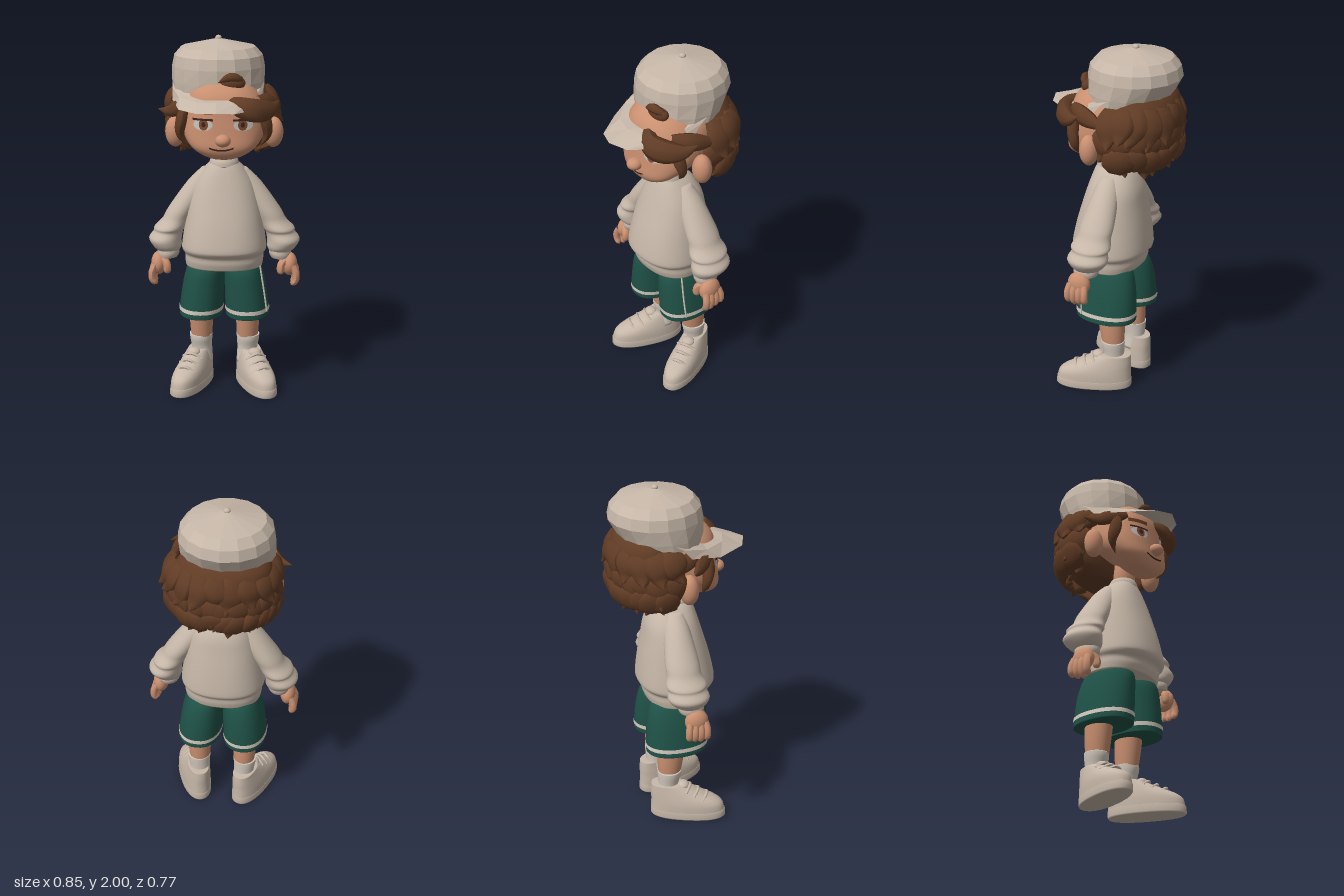
import * as THREE from 'three';

const mat = (name, color, double) => {
  const m = new THREE.MeshStandardMaterial({ color });
  m.name = name;
  if (double) m.side = THREE.DoubleSide;
  return m;
};
const M = {
  cream: mat('cream cloth', 0xc6b7a8, true),
  skin: mat('skin', 0xc98f70),
  hair: mat('brown hair', 0x613c25),
  green: mat('green cloth', 0x1f5247),
  trim: mat('pale trim', 0xd2c8bc),
  white: mat('eye white', 0xc0bebb),
  iris: mat('iris brown', 0x7a452b),
  dark: mat('dark brown', 0x38221a),
};

// Smooth interpolation of a list of rings
function resample(rings, k) {
  const out = [], at = i => rings[Math.min(Math.max(i, 0), rings.length - 1)];
  for (let i = 0; i < rings.length - 1; i++) for (let s = 0; s < k; s++) {
    const t = s / k;
    out.push(rings[i].map((b, c) => {
      const a = at(i - 1)[c], d = at(i + 1)[c], e = at(i + 2)[c];
      return b + 0.5 * t * (d - a + t * (2 * a - 5 * b + 4 * d - e + t * (3 * (b - d) + e - a)));
    }));
  }
  out.push(rings[rings.length - 1]);
  return out;
}

// Stacked horizontal rings, bottom to top: [y, centre x, half width, z front, z back]
function loft(rings, { n = 32, k = 4, e = 2, caps = true, flat = false } = {}) {
  let rs = k > 1 ? resample(rings, k) : rings.slice();
  if (caps) {
    const point = r => [r[0], r[1], 0.0005, (r[3] + r[4]) / 2 + 0.0005, (r[3] + r[4]) / 2 - 0.0005];
    rs = [point(rs[0]), ...rs, point(rs[rs.length - 1])];
  }
  const pos = [], idx = [], pw = v => Math.sign(v) * Math.abs(v) ** (2 / e);
  rs.forEach(([y, cx, rx, zf, zb]) => {
    for (let j = 0; j < n; j++) {
      const a = (j / n) * Math.PI * 2;
      pos.push(cx + rx * pw(Math.cos(a)), y, (zf + zb) / 2 + ((zf - zb) / 2) * pw(Math.sin(a)));
    }
  });
  for (let i = 0; i < rs.length - 1; i++) for (let j = 0; j < n; j++) {
    const a = i * n + j, c = i * n + (j + 1) % n;
    idx.push(a, a + n, c, a + n, c + n, c);
  }
  let g = new THREE.BufferGeometry();
  g.setAttribute('position', new THREE.Float32BufferAttribute(pos, 3));
  g.setIndex(idx);
  if (flat) g = g.toNonIndexed();
  g.computeVertexNormals();
  return g;
}

const V = p => new THREE.Vector3(...p);
const pointed = t => Math.sin(Math.PI * (0.18 + 0.82 * t));
const blunt = t => Math.sqrt(Math.max(0, 1 - t ** 8));

// Tapered tube; an optional centre flattens it against the head
function strand(points, r, taper = pointed, centre = null, thick = 0.5) {
  const curve = new THREE.CatmullRomCurve3(points.map(V)), seg = 14, rad = 8;
  const g = new THREE.TubeGeometry(curve, seg, r, rad), p = g.attributes.position, v = new THREE.Vector3();
  for (let i = 0; i < p.count; i++) {
    const t = Math.floor(i / (rad + 1)) / seg, c = curve.getPointAt(t);
    v.fromBufferAttribute(p, i).sub(c).multiplyScalar(taper(t));
    if (centre) {
      const d = c.clone().sub(centre).normalize();
      v.addScaledVector(d, -(1 - thick) * v.dot(d));
    }
    v.add(c);
    p.setXYZ(i, v.x, v.y, v.z);
  }
  g.computeVertexNormals();
  return g;
}

const HEAD = [
  [1.365, 0, 0.06, 0.2, 0.1], [1.385, 0, 0.115, 0.228, 0.07], [1.43, 0, 0.178, 0.248, 0.02],
  [1.5, 0, 0.222, 0.243, -0.11], [1.58, 0, 0.228, 0.236, -0.18], [1.66, 0, 0.215, 0.228, -0.2],
  [1.72, -0.005, 0.185, 0.205, -0.2], [1.77, -0.01, 0.14, 0.15, -0.16], [1.8, -0.01, 0.07, 0.08, -0.1]];
const FACE = resample(HEAD, 4);

function faceZ(x, y) {
  const i = Math.max(1, FACE.findIndex(r => r[0] > y)), a = FACE[i - 1], b = FACE[i];
  const [, cx, rx, zf, zb] = a.map((v, c) => v + (b[c] - v) * (y - a[0]) / (b[0] - a[0]));
  return (zf + zb) / 2 + (zf - zb) / 2 * Math.max(0, 1 - Math.abs((x - cx) / rx) ** 2.4) ** (1 / 2.4);
}

// Lays a flat geometry onto the face
function onFace(g, x, y, off) {
  g.translate(x, y, 0);
  const p = g.attributes.position;
  for (let i = 0; i < p.count; i++) p.setZ(i, faceZ(p.getX(i), p.getY(i)) + off);
  g.computeVertexNormals();
  return g;
}

export function createModel() {
  const root = new THREE.Group();
  const add = (name, g, m, parent = root) => {
    const mesh = new THREE.Mesh(g, m);
    mesh.name = name;
    parent.add(mesh);
    return mesh;
  };
  const ball = (name, m, [x, y, z], [a, b, c], parent) =>
    add(name, new THREE.SphereGeometry(1, 24, 16).scale(a, b, c).translate(x, y, z), m, parent);
  const disc = (rx, ry) => new THREE.RingGeometry(0, 1, 24, 4).scale(rx, ry, 1);

  // Head and face
  add('head', loft(HEAD, { n: 48, e: 2.4 }), M.skin);
  add('neck', loft([[1.28, 0, 0.066, 0.085, -0.04], [1.45, 0, 0.062, 0.1, -0.02]], { k: 1 }), M.skin);
  ball('nose', M.skin, [0, 1.48, 0.256], [0.042, 0.034, 0.044]);
  const mouth = new THREE.PlaneGeometry(0.13, 0.009, 16, 1);
  for (let i = 0, p = mouth.attributes.position; i < p.count; i++) p.setY(i, p.getY(i) + 3 * p.getX(i) ** 2);
  add('mouth', onFace(mouth, -0.01, 1.425, 0.004), M.dark);

  // Sweater body and collar
  add('sweater', loft([
    [0.73, 0, 0.215, 0.183, -0.158], [0.765, 0, 0.22, 0.195, -0.168], [0.8, 0, 0.221, 0.2, -0.172],
    [0.825, 0, 0.235, 0.226, -0.195], [0.86, 0, 0.235, 0.232, -0.2], [0.98, 0, 0.217, 0.207, -0.187],
    [1.1, 0, 0.195, 0.172, -0.168], [1.2, 0, 0.163, 0.142, -0.15], [1.28, 0, 0.112, 0.116, -0.108],
    [1.315, 0, 0.078, 0.1, -0.06]], { n: 40, e: 2.3 }), M.cream);
  add('collar', loft([[1.3, 0, 0.084, 0.108, -0.066], [1.325, 0, 0.079, 0.104, -0.058],
    [1.343, 0, 0.07, 0.094, -0.046]]), M.cream);
  add('sideStripe', strand([[0.242, 0.47, 0.095], [0.2285, 0.57, 0.1], [0.202, 0.74, 0.098]], 0.005, () => 1), M.trim);

  for (const s of [1, -1]) {
    const side = s > 0 ? 'left' : 'right';
    // Ear and eye
    ball(side + 'Ear', M.skin, [s * 0.27, 1.485, 0.02], [0.055, 0.085, 0.052]);
    add(side + 'EyeWhite', onFace(disc(0.052, 0.031), s * 0.108, 1.56, 0.003), M.white);
    add(side + 'Iris', onFace(disc(0.025, 0.03), s * 0.105, 1.561, 0.005), M.iris);
    add(side + 'Pupil', onFace(disc(0.011, 0.014), s * 0.105, 1.562, 0.007), M.dark);
    add(side + 'Eyelid', onFace(new THREE.PlaneGeometry(0.112, 0.011, 10, 1), s * 0.108, 1.588, 0.007), M.dark);
    add(side + 'Eyebrow', onFace(new THREE.PlaneGeometry(0.11, 0.024, 10, 1), s * 0.112, 1.63, 0.007), M.hair);

    // Sleeve with folds, and cuff
    add(side + 'Sleeve', loft([
      [0.812, s * 0.315, 0.066, 0.088, -0.062], [0.835, s * 0.322, 0.082, 0.107, -0.09],
      [0.875, s * 0.332, 0.092, 0.117, -0.117], [0.915, s * 0.314, 0.083, 0.1, -0.108],
      [0.94, s * 0.304, 0.088, 0.108, -0.118], [0.985, s * 0.27, 0.078, 0.088, -0.104],
      [1.05, s * 0.232, 0.08, 0.084, -0.104], [1.2, s * 0.13, 0.075, 0.06, -0.08],
      [1.28, s * 0.075, 0.05, 0.04, -0.05]], { n: 28 }), M.cream);
    add(side + 'Cuff', loft([[0.772, s * 0.318, 0.055, 0.085, -0.045], [0.795, s * 0.314, 0.062, 0.092, -0.055],
      [0.825, s * 0.312, 0.06, 0.088, -0.055]]), M.cream);

    // Hand: palm, four fingers and a thumb
    const hand = new THREE.Group();
    hand.name = side + 'Hand';
    root.add(hand);
    ball('palm', M.skin, [s * 0.367, 0.735, 0.035], [0.044, 0.066, 0.066], hand);
    ball('wrist', M.skin, [s * 0.335, 0.782, 0.02], [0.045, 0.04, 0.05], hand);
    for (let i = 0; i < 4; i++) {
      const z = 0.087 - i * 0.034, low = 0.612 + [0.012, 0, 0.008, 0.032][i];
      add('finger', strand([[s * 0.385, 0.735, z * 0.85 + 0.005], [s * 0.403, 0.69, z], [s * 0.4, 0.65, z],
        [s * 0.378, low, z]], 0.0205, blunt), M.skin, hand);
    }
    add('thumb', strand([[s * 0.345, 0.765, 0.06], [s * 0.32, 0.74, 0.082], [s * 0.318, 0.685, 0.088]], 0.023, blunt), M.skin, hand);

    // Shorts leg with pale hem stripe
    add(side + 'ShortsLeg', loft([[0.435, s * 0.13, 0.121, 0.164, -0.182], [0.455, s * 0.131, 0.124, 0.168, -0.186],
      [0.6, s * 0.119, 0.117, 0.168, -0.178], [0.7, s * 0.107, 0.106, 0.163, -0.158], [0.75, s * 0.1, 0.092, 0.14, -0.13]],
      { e: 2.2 }), M.green);
    add(side + 'HemStripe', loft([[0.466, s * 0.1305, 0.127, 0.171, -0.189], [0.489, s * 0.1285, 0.126, 0.171, -0.188]],
      { k: 1, e: 2.2, caps: false }), M.trim);

    // Leg and sock
    add(side + 'Leg', loft([[0.25, s * 0.131, 0.058, 0.01, -0.115], [0.36, s * 0.133, 0.066, 0.028, -0.12],
      [0.5, s * 0.133, 0.07, 0.05, -0.12]]), M.skin);
    add(side + 'Sock', loft([[0.12, s * 0.13, 0.06, 0.015, -0.115], [0.2, s * 0.132, 0.058, 0.002, -0.116],
      [0.26, s * 0.135, 0.064, 0.015, -0.12], [0.288, s * 0.135, 0.066, 0.016, -0.121]]), M.trim);

    // Shoe, toes turned out
    const shoe = new THREE.Group();
    shoe.name = side + 'Shoe';
    shoe.position.set(s * 0.147, 0, -0.05);
    shoe.rotation.y = s * 0.37;
    root.add(shoe);
    add('sole', loft([[0, 0, 0.084, 0.312, -0.11], [0.008, 0, 0.088, 0.321, -0.115], [0.045, 0, 0.087, 0.318, -0.115],
      [0.05, 0, 0.083, 0.31, -0.112]], { k: 1, e: 2.3 }), M.cream, shoe);
    add('upper', loft([[0.04, 0, 0.085, 0.314, -0.113], [0.085, 0, 0.084, 0.304, -0.112], [0.115, 0, 0.08, 0.27, -0.112],
      [0.145, 0, 0.073, 0.205, -0.113], [0.18, 0, 0.064, 0.13, -0.112], [0.205, 0, 0.058, 0.075, -0.11]],
      { e: 2.3 }), M.cream, shoe);
    ball('tongue', M.cream, [0, 0.195, 0.075], [0.038, 0.025, 0.035], shoe);
    for (const [y, z] of [[0.145, 0.212], [0.17, 0.162], [0.193, 0.115]])
      add('lace', strand([[-0.058, y - 0.025, z - 0.02], [0, y + 0.006, z], [0.058, y - 0.025, z - 0.02]],
        0.009, () => 1), M.cream, shoe);

    // Sideburn
    add(side + 'Sideburn', strand([[s * 0.2, 1.67, 0.13], [s * 0.225, 1.57, 0.14], [s * 0.235, 1.49, 0.125],
      [s * 0.195, 1.42, 0.115]], 0.034), M.hair);
  }

  // Cap: faceted crown, button and brim
  const cx = -0.035;
  add('capCrown', loft([[1.71, cx, 0.25, 0.15, -0.28], [1.755, cx, 0.255, 0.155, -0.31], [1.835, cx, 0.256, 0.156, -0.356],
    [1.895, cx, 0.244, 0.144, -0.344], [1.94, cx, 0.205, 0.105, -0.305], [1.985, cx, 0.0005, -0.0995, -0.1005]],
    { n: 16, k: 1, caps: false, flat: true }), M.cream);
  ball('capButton', M.cream, [cx, 1.985, -0.1], [0.018, 0.015, 0.018]);
  const rim = [[-0.248, 1.665, 0.03], [-0.205, 1.637, 0.2], [-0.1, 1.642, 0.355], [0, 1.652, 0.395],
    [0.1, 1.642, 0.355], [0.205, 1.637, 0.2], [0.248, 1.665, 0.03]];
  let brim = new THREE.PlaneGeometry(1, 1, 6, 2);
  for (let i = 0, p = brim.attributes.position; i < p.count; i++) {
    const u = i % 7, v = Math.floor(i / 7) / 2, a = (u / 3 - 1) * 1.45, [x, y, z] = rim[u];
    const inner = [0.253 * Math.sin(a), 1.695 + 0.06 * (u / 3 - 1) ** 2, -0.1 + 0.253 * Math.cos(a)];
    p.setXYZ(i, cx + inner[0] + (x - inner[0]) * v, inner[1] + (y - inner[1]) * v + (v === 0.5 ? 0.012 : 0),
      inner[2] + (z - inner[2]) * v);
  }
  brim = brim.toNonIndexed();
  brim.computeVertexNormals();
  add('capBrim', brim, M.cream);

  // Hair: core mass, then layered locks flicking outward at the tips
  const core = V([-0.015, 1.55, -0.1]);
  add('hairMass', loft([[1.36, -0.01, 0.17, -0.03, -0.22], [1.4, -0.015, 0.235, -0.01, -0.265], [1.47, -0.015, 0.275, 0, -0.31],
    [1.58, -0.015, 0.284, 0.01, -0.345], [1.67, -0.025, 0.265, 0.03, -0.342], [1.73, -0.035, 0.238, 0, -0.32],
    [1.775, -0.035, 0.2, -0.02, -0.28]]), M.hair);
  let seed = 7;
  const rnd = () => (seed = (seed * 16807) % 2147483647) / 2147483647;
  const at = (a, y, k) => [core.x + 0.285 * k * Math.sin(a), y, core.z - 0.235 * k * Math.cos(a)];
  // Each layer: count, root height, tip height, tip reach, half angle
  const layers = [[11, 1.72, 1.53, 1.17, 1.6], [12, 1.62, 1.42, 1.07, 1.65], [12, 1.5, 1.345, 0.82, 1.5]];
  layers.forEach(([count, top, low, out, span]) => {
    for (let i = 0; i < count; i++) {
      const a = (i / (count - 1) * 2 - 1) * span, tw = (rnd() - 0.5) * 0.5, y = low + (rnd() - 0.5) * 0.06;
      const flank = Math.abs(Math.sin(a)), k = out + (rnd() - 0.5) * 0.1;
      add('hairLock', strand([at(a, top, 0.95 - 0.1 * flank), at(a + tw * 0.3, top * 0.6 + y * 0.4, 1.01),
        at(a + tw * 0.7, y + 0.03, k * 0.92), at(a + tw, y, k)], 0.078, pointed, core, 0.38), M.hair);
    }
  });

  // Front tufts swept out from under the cap
  const tufts = [
    [[[0.04, 1.675, 0.2], [0.12, 1.65, 0.24], [0.19, 1.635, 0.21], [0.26, 1.638, 0.14], [0.3, 1.67, 0.07]], 0.068],
    [[[0.18, 1.68, 0.16], [0.235, 1.66, 0.08], [0.26, 1.64, 0], [0.285, 1.62, -0.09]], 0.05],
    [[[-0.16, 1.665, 0.17], [-0.23, 1.64, 0.12], [-0.3, 1.605, 0.06], [-0.365, 1.61, 0.02]], 0.045],
    [[[-0.22, 1.68, 0.1], [-0.255, 1.65, 0.03], [-0.285, 1.61, -0.05], [-0.33, 1.55, -0.1]], 0.045]];
  tufts.forEach(([pts, r]) => add('frontTuft', strand(pts, r, pointed, core, 0.65), M.hair));
  ball('foreheadTuft', M.hair, [0.045, 1.77, 0.13], [0.072, 0.045, 0.04]);
  add('foreheadTuft', strand([[0.1, 1.79, 0.14], [0.04, 1.805, 0.16], [-0.03, 1.775, 0.155]], 0.025), M.hair);
  return root;
}
